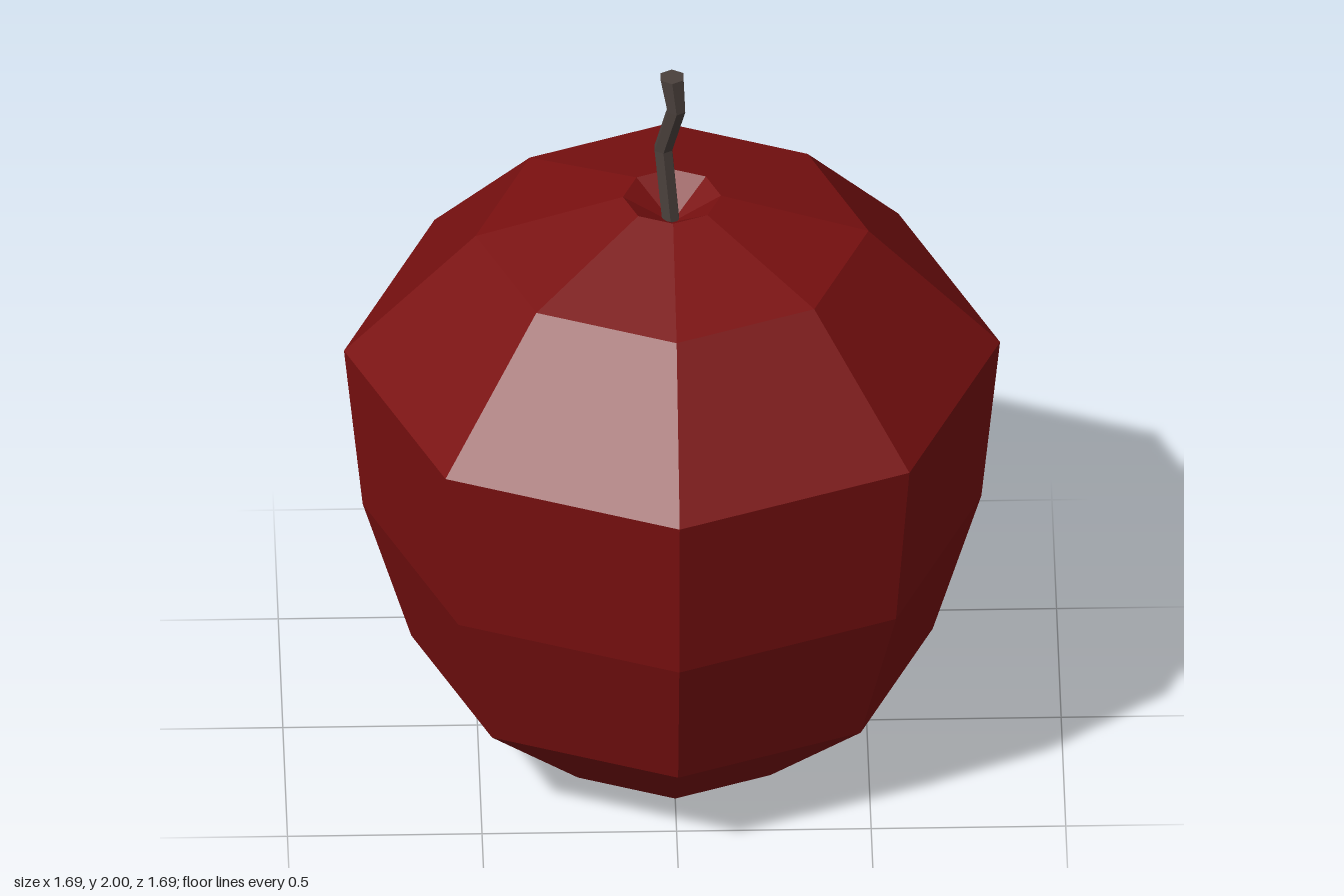
import * as THREE from 'three';

const SIDES = 8;

// Faceted tube: hexagonal rings [x, y, z, radius] joined upward, capped at both ends
function ringTube(rings, n) {
  const pos = [], index = [];
  for (const [x, y, z, r] of rings)
    for (let i = 0; i < n; i++) {
      const a = (i / n) * Math.PI * 2;
      pos.push(x + Math.sin(a) * r, y, z + Math.cos(a) * r);
    }
  for (let k = 0; k < rings.length - 1; k++)
    for (let i = 0; i < n; i++) {
      const a = k * n + i, b = k * n + (i + 1) % n;
      index.push(a, b, b + n, a, b + n, a + n);
    }
  const top = (rings.length - 1) * n;
  for (let i = 1; i < n - 1; i++) {
    index.push(0, i + 1, i);
    index.push(top, top + i, top + i + 1);
  }
  const geo = new THREE.BufferGeometry();
  geo.setAttribute('position', new THREE.Float32BufferAttribute(pos, 3));
  geo.setIndex(index);
  geo.computeVertexNormals();
  return geo;
}

export function createModel() {
  const model = new THREE.Group();
  model.name = 'apple';

  // Eight-sided body, dimpled at both ends
  const profile = [
    [0, 0.05], [0.35, 0], [0.67, 0.28], [0.795, 0.69],
    [0.843, 1.165], [0.505, 1.515], [0.126, 1.63], [0, 1.55],
  ].map(([r, y]) => new THREE.Vector2(r, y));
  const body = new THREE.Mesh(
    new THREE.LatheGeometry(profile, SIDES),
    new THREE.MeshStandardMaterial({ color: 0x7a1010, flatShading: true }),
  );
  body.name = 'body';
  model.add(body);

  // Crooked stem leaning along the diagonal
  const stem = new THREE.Mesh(
    ringTube([
      [0, 1.52, 0, 0.025],
      [-0.022, 1.765, -0.022, 0.026],
      [0.011, 1.905, 0.011, 0.026],
      [0, 2, 0, 0.034],
    ], 6),
    new THREE.MeshStandardMaterial({ color: 0x4a403c, flatShading: true }),
  );
  stem.name = 'stem';
  model.add(stem);

  return model;
}
